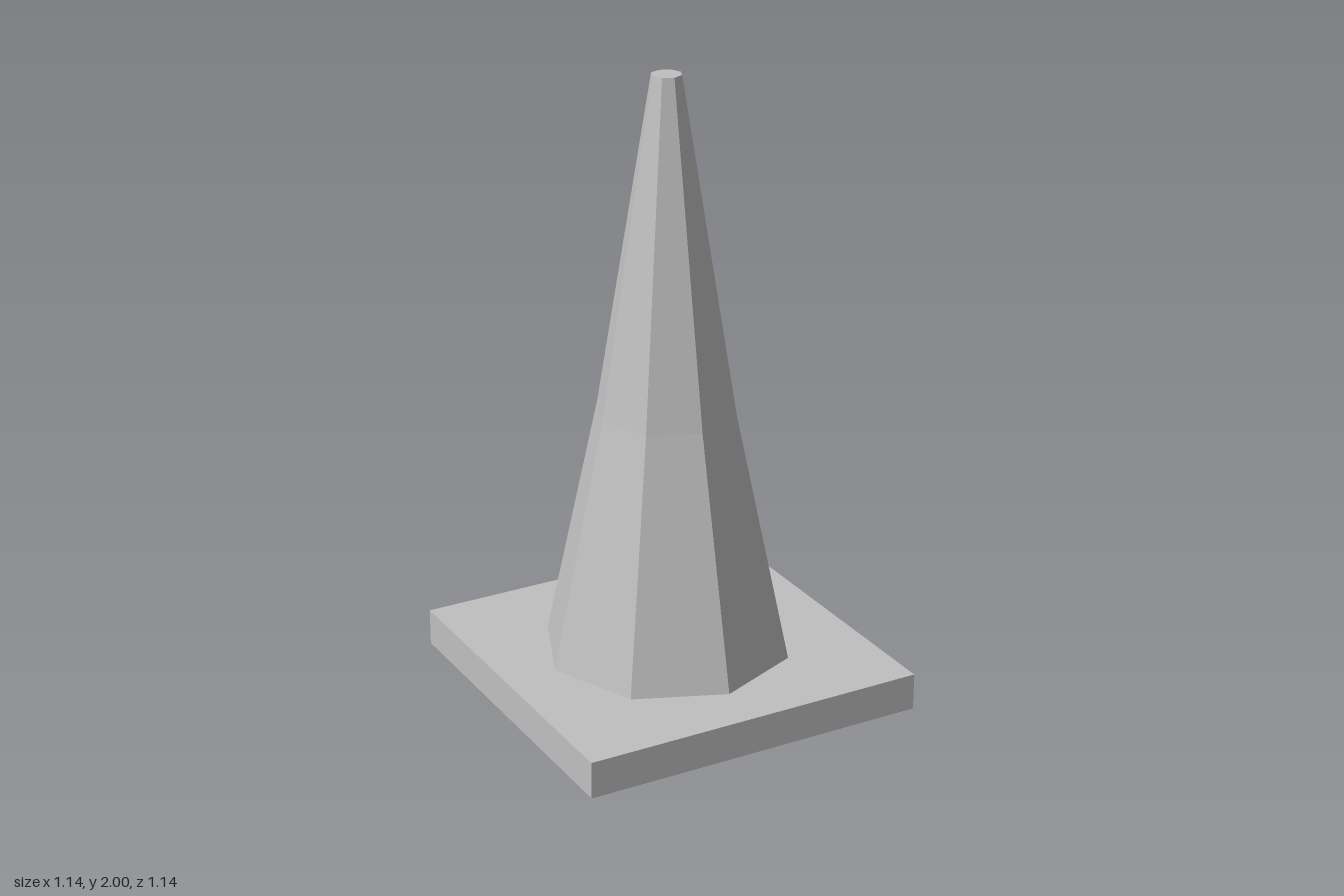
import * as THREE from 'three';

export function createModel() {
  const model = new THREE.Group();
  model.name = 'trafficCone';
  const grey = new THREE.MeshStandardMaterial({ color: 0xc0c0c0, flatShading: true });
  grey.name = 'grey';

  // Square foot plate
  const baseHeight = 0.12;
  const base = new THREE.Mesh(new THREE.BoxGeometry(1.14, baseHeight, 1.14), grey);
  base.name = 'base';
  base.position.y = baseHeight / 2;
  model.add(base);

  // Eight-sided body, flaring slightly below the middle, with a flat tip
  const profile = [[0.4, baseHeight], [0.225, 0.93], [0.048, 2], [0, 2]]
    .map(([r, y]) => new THREE.Vector2(r, y));
  const cone = new THREE.Mesh(new THREE.LatheGeometry(profile, 8), grey);
  cone.name = 'coneBody';
  model.add(cone);

  return model;
}
